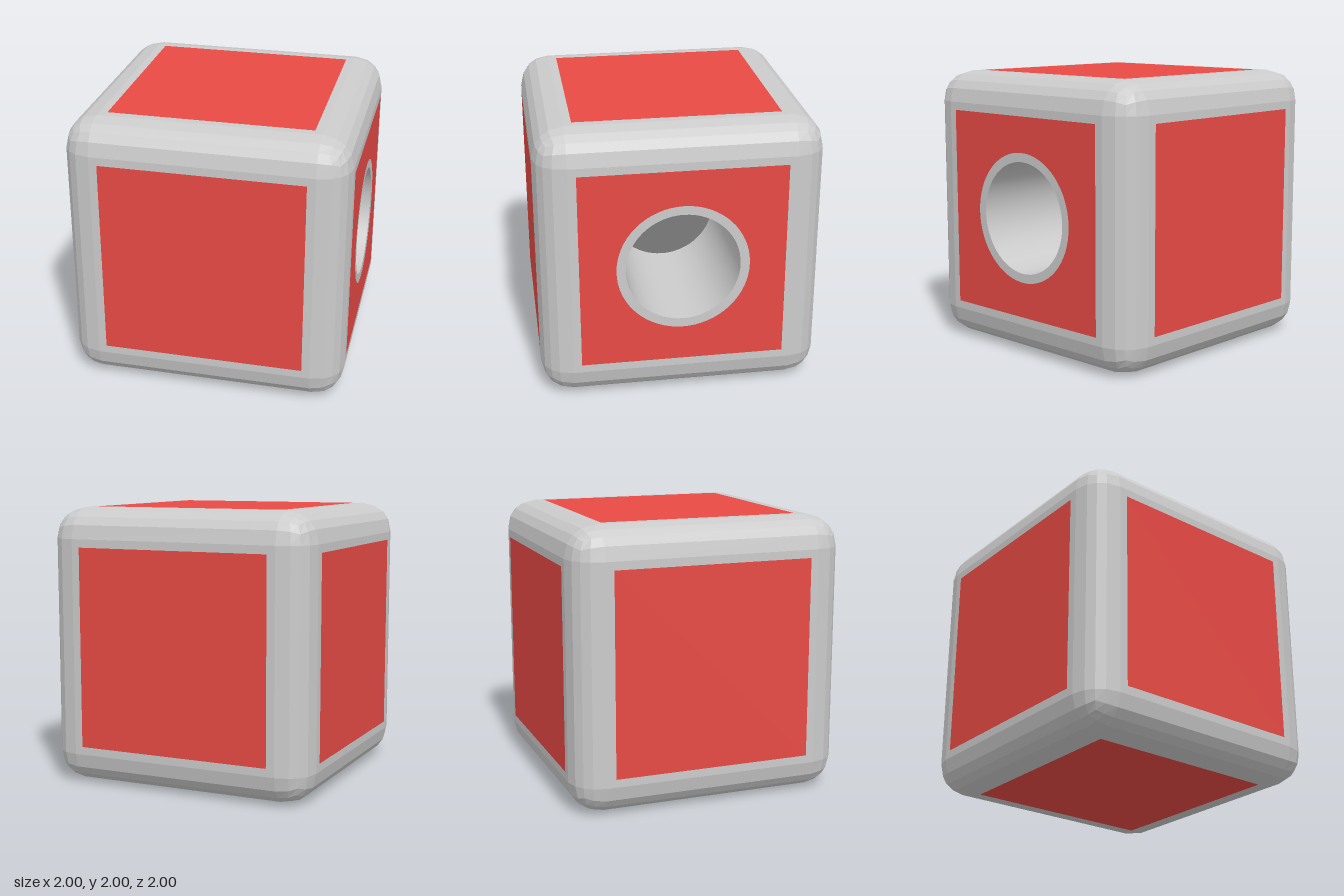
import * as THREE from 'three';
import { RoundedBoxGeometry } from 'three/addons/geometries/RoundedBoxGeometry.js';

const HALF = 0.998, BEVEL = 0.22, FLAT = HALF - BEVEL;
const PANEL = 0.72, RIM = 0.465, HOLE = 0.4, DEPTH = 1.0;

const grey = new THREE.MeshStandardMaterial({ color: 0xcccccc, flatShading: true });
const greyInside = new THREE.MeshStandardMaterial({ color: 0xcccccc, side: THREE.DoubleSide });
const dark = new THREE.MeshStandardMaterial({ color: 0x7c7c7c });
const red = new THREE.MeshStandardMaterial({ color: 0xe84a45 });

// Flat square facing +z, with an optional round hole
function squareSheet(half, hole = 0) {
  const s = new THREE.Shape();
  s.moveTo(-half, -half).lineTo(half, -half).lineTo(half, half).lineTo(-half, half).closePath();
  if (hole) s.holes.push(new THREE.Path().absarc(0, 0, hole, 0, Math.PI * 2, true));
  return new THREE.ShapeGeometry(s, 32);
}

// Bevelled cube with the flat of its +x side left open
function openCube() {
  const box = new RoundedBoxGeometry(HALF * 2, HALF * 2, HALF * 2, 2, BEVEL);
  const p = box.attributes.position;
  const kept = [];
  for (let i = 0; i < p.count; i += 3) {
    const onFlat = [0, 1, 2].every(k => p.getX(i + k) > HALF - 1e-4);
    if (onFlat) continue;
    for (let k = 0; k < 3; k++) kept.push(p.getX(i + k), p.getY(i + k), p.getZ(i + k));
  }
  const g = new THREE.BufferGeometry();
  g.setAttribute('position', new THREE.Float32BufferAttribute(kept, 3));
  g.computeVertexNormals();
  return g;
}

export function createModel() {
  const model = new THREE.Group();
  model.name = 'cube';
  const add = (name, geometry, material) => {
    const m = new THREE.Mesh(geometry, material);
    m.name = name;
    m.position.y += 1;
    model.add(m);
    return m;
  };

  // Body, and the pierced flat that closes its right side
  add('body', openCube(), grey);
  add('holeRim', squareSheet(FLAT, HOLE).rotateY(Math.PI / 2).translate(HALF, 0, 0), grey);

  // Blind round hole, narrowing slightly inward
  const wall = new THREE.CylinderGeometry(HOLE, HOLE - 0.01, DEPTH, 64, 1, true);
  add('holeWall', wall.rotateZ(-Math.PI / 2).translate(HALF - DEPTH / 2, 0, 0), greyInside);
  const floor = new THREE.CircleGeometry(HOLE - 0.01, 64);
  add('holeFloor', floor.rotateY(Math.PI / 2).translate(HALF - DEPTH, 0, 0), dark);

  // Coloured square on every side; the +x one surrounds the hole
  const sides = [
    ['frontPanel', 0, 0], ['backPanel', 0, Math.PI],
    ['rightPanel', 0, Math.PI / 2], ['leftPanel', 0, -Math.PI / 2],
    ['topPanel', -Math.PI / 2, 0], ['bottomPanel', Math.PI / 2, 0],
  ];
  for (const [name, rx, ry] of sides) {
    const sheet = squareSheet(PANEL, name === 'rightPanel' ? RIM : 0).translate(0, 0, 1);
    add(name, sheet.rotateX(rx).rotateY(ry), red);
  }
  return model;
}
